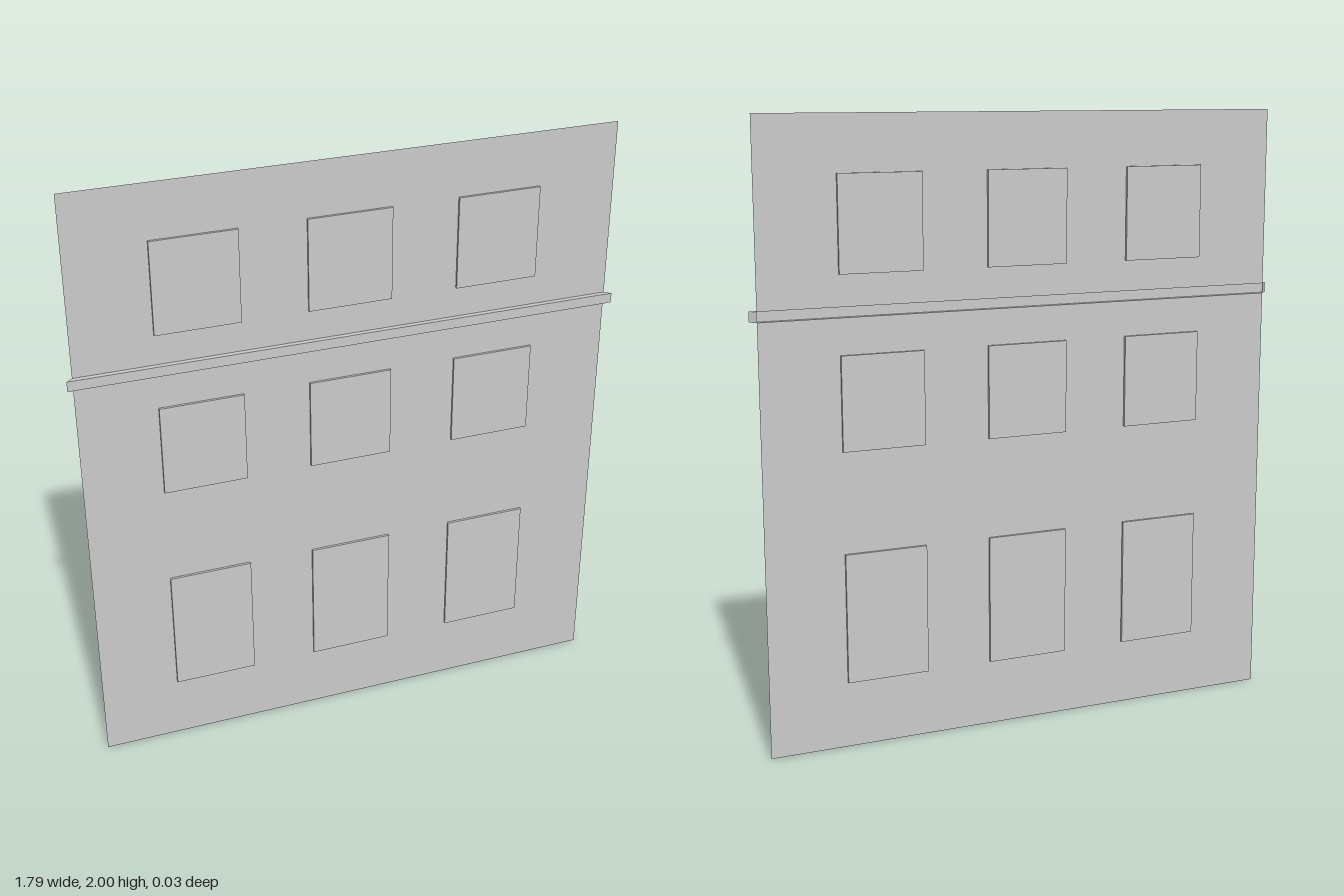
import * as THREE from 'three';

const HALF_W = 0.877, WALL_Z = -0.004;
const BAND = { bottom: 1.386, top: 1.419, half: 0.897, z: 0.013 };

export function createModel() {
  const group = new THREE.Group();
  const solid = new THREE.MeshStandardMaterial({ color: 0xcccccc, flatShading: true });
  const thin = new THREE.MeshStandardMaterial({ color: 0xcccccc, flatShading: true, side: THREE.DoubleSide });

  const add = (name, geometry, material) => {
    const mesh = new THREE.Mesh(geometry, material);
    mesh.name = name;
    group.add(mesh);
    return mesh;
  };

  // Thin wall sheets below and above the band
  const wall = (name, y0, y1) =>
    add(name, new THREE.PlaneGeometry(HALF_W * 2, y1 - y0), thin).position.set(0, (y0 + y1) / 2, WALL_Z);
  wall('lowerWall', 0, BAND.bottom);
  wall('upperWall', BAND.top, 2);

  // Hollow band, open at the back, widening towards the front
  const corners = [];
  for (const [half, z] of [[HALF_W, WALL_Z], [BAND.half, BAND.z]])
    corners.push(-half, BAND.bottom, z, half, BAND.bottom, z, half, BAND.top, z, -half, BAND.top, z);
  const index = [4, 5, 6, 4, 6, 7];
  for (let i = 0; i < 4; i++) {
    const j = (i + 1) % 4;
    index.push(i, j, j + 4, i, j + 4, i + 4);
  }
  const band = new THREE.BufferGeometry();
  band.setAttribute('position', new THREE.Float32BufferAttribute(corners, 3));
  band.setIndex(index);
  const bandGeometry = band.toNonIndexed();
  bandGeometry.computeVertexNormals();
  add('corniceBand', bandGeometry, thin);

  // Window panels standing slightly proud of both wall faces
  const rows = [[0.216, 0.639], [0.968, 1.27], [1.519, 1.822]];
  const columns = [-0.488, -0.003, 0.485];
  for (const [y0, y1] of rows)
    for (const x of columns)
      add('windowPanel', new THREE.BoxGeometry(0.271, y1 - y0, 0.017), solid)
        .position.set(x, (y0 + y1) / 2, WALL_Z - 0.0005);

  return group;
}
